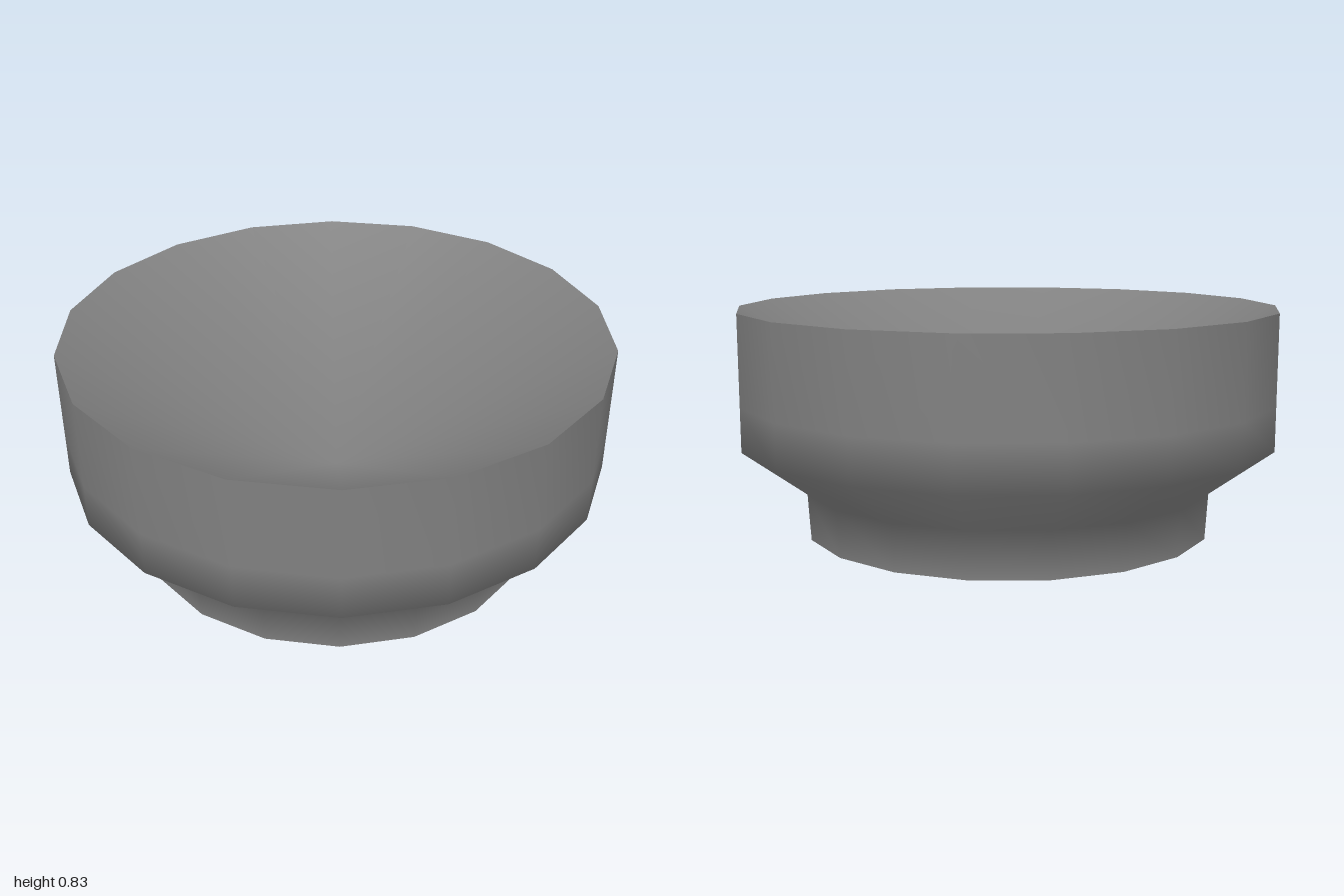
import * as THREE from 'three';
import { mergeVertices } from 'three/addons/utils/BufferGeometryUtils.js';

const SIDES = 18;

// Revolved surface with corners on the x axis and smooth, seamless normals
function revolve(name, profile, material) {
  const points = profile.map(([r, y]) => new THREE.Vector2(r, y));
  const lathe = new THREE.LatheGeometry(points, SIDES, Math.PI / 2);
  lathe.deleteAttribute('normal');
  lathe.deleteAttribute('uv');
  const geometry = mergeVertices(lathe, 1e-4);
  geometry.computeVertexNormals();
  const mesh = new THREE.Mesh(geometry, material);
  mesh.name = name;
  return mesh;
}

export function createModel() {
  const group = new THREE.Group();
  group.name = 'footedBowl';
  const material = new THREE.MeshStandardMaterial({ color: 0x808080, side: THREE.DoubleSide });

  // Foot, flared shoulder and upright wall
  group.add(revolve('outerWall', [[0.76, 0], [0.77, 0.17], [1, 0.34], [1, 0.5], [1, 0.83]], material));
  // Conical hollow, sharp against the rim
  group.add(revolve('hollow', [[1, 0.83], [0, 0.25]], material));
  // Flat underside
  group.add(revolve('base', [[0, 0], [0.76, 0]], material));

  return group;
}
